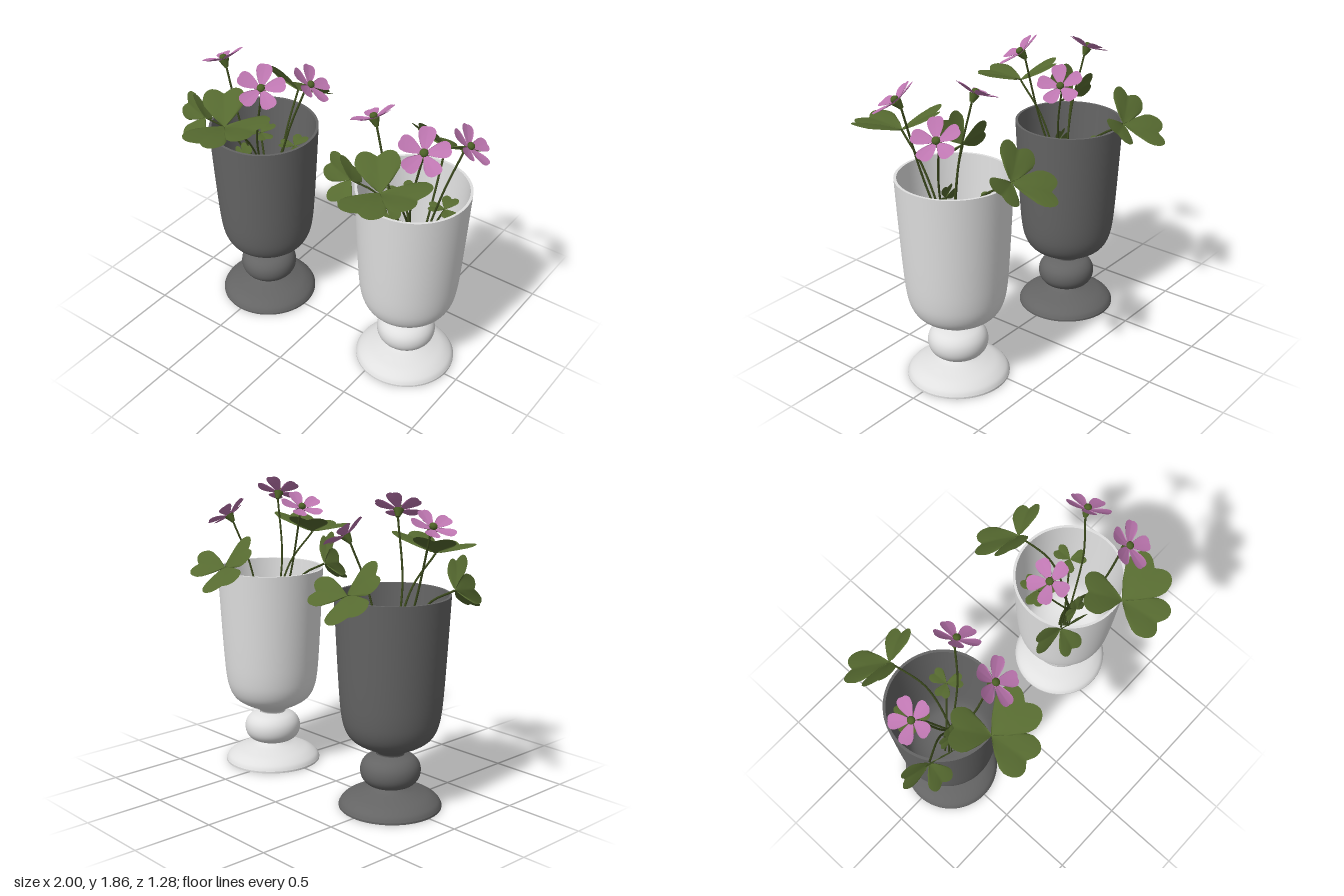
import * as THREE from 'three';

const V = (x, y, z) => new THREE.Vector3(x, y, z);
const mat = (name, color, side = THREE.FrontSide) => {
  const m = new THREE.MeshStandardMaterial({ color, side });
  m.name = name;
  return m;
};
const AXIS = [-0.497, -0.015]; // x and z of the first goblet

// smooth lathe through a few profile points [radius, height]
function lathe(points, smooth = true) {
  let pts = points.map(p => new THREE.Vector2(p[0], p[1]));
  if (smooth) pts = new THREE.SplineCurve(pts).getPoints(points.length * 4);
  pts.forEach(p => { p.x = Math.max(0, p.x); });
  return new THREE.LatheGeometry(pts, 64);
}

// blade drawn as rays from its base; outline gives ray length from midrib to edge
function bladeGeometry(outline, spread, base, tip, normal, fold, droop) {
  const rim = new THREE.SplineCurve(outline.map((r, i) => new THREE.Vector2(i / (outline.length - 1), r)));
  const dir = tip.clone().sub(base);
  const L = dir.length();
  dir.normalize();
  const side = normal.clone().cross(dir).normalize();
  const up = dir.clone().cross(side);
  const cols = 24, rows = 5, pos = [], idx = [];
  for (let j = 0; j <= rows; j++) {
    for (let i = 0; i <= cols; i++) {
      const s = (i / cols) * 2 - 1, t = j / rows;
      const r = Math.max(0, rim.getPoint(Math.abs(s)).y) * t * L;
      const along = r * Math.cos(s * spread), across = r * Math.sin(s * spread);
      const lift = fold * Math.abs(across) - droop * L * (t * t - t);
      const p = base.clone().addScaledVector(dir, along).addScaledVector(side, across).addScaledVector(up, lift);
      pos.push(p.x, p.y, p.z);
      if (i < cols && j < rows) {
        const a = j * (cols + 1) + i, b = a + cols + 1;
        idx.push(a, b, a + 1, b, b + 1, a + 1);
      }
    }
  }
  const g = new THREE.BufferGeometry();
  g.setAttribute('position', new THREE.Float32BufferAttribute(pos, 3));
  // wind the faces so that they look along the blade's upper side
  for (let k = 0; k < idx.length; k += 3) [idx[k + 1], idx[k + 2]] = [idx[k + 2], idx[k + 1]];
  g.setIndex(idx);
  g.computeVertexNormals();
  return g;
}

const HEART = [0.86, 0.96, 1.02, 1.0, 0.9, 0.7, 0.1];
const PETAL = [0.98, 1.0, 0.99, 0.95, 0.85, 0.62, 0.15];

// leaf clusters: centre, normal, stem bend, leaflet tips
const LEAVES = [
  { name: 'backLeaf', c: [-0.527, 1.35, -0.40], n: [-0.1, 0.75, -0.65], mid: [-0.46, 1.2, -0.2],
    tips: [[-0.72, 1.27, -0.58], [-0.325, 1.36, -0.49], [-0.70, 1.5, -0.32]] },
  { name: 'sideLeaf', c: [-0.80, 1.34, 0.18], n: [-0.05, 0.3, 0.95], mid: [-0.66, 1.24, 0.1],
    tips: [[-0.99, 1.38, 0.15], [-0.74, 1.52, 0.25], [-0.82, 1.23, 0.31]] },
  { name: 'frontLeaf', c: [-0.48, 1.485, 0.36], n: [0, 1, 0.1], mid: [-0.46, 1.28, 0.17],
    tips: [[-0.455, 1.515, 0.64], [-0.63, 1.61, 0.18], [-0.19, 1.58, 0.385]] },
  { name: 'innerLeafLeft', c: [-0.635, 1.12, -0.145], n: [0, 1, 0], mid: [-0.54, 0.9, -0.07],
    tips: [[-0.637, 1.14, -0.255], [-0.735, 1.13, -0.09], [-0.54, 1.13, -0.09]] },
  { name: 'innerLeafRight', c: [-0.35, 1.14, -0.13], n: [0, 1, 0], mid: [-0.44, 0.9, -0.06],
    tips: [[-0.36, 1.16, -0.235], [-0.44, 1.15, -0.09], [-0.27, 1.15, -0.07]] },
  { name: 'innerLeafFront', c: [-0.56, 1.1, 0.11], n: [0, 0.4, 0.9], mid: [-0.52, 0.9, 0.03],
    tips: [[-0.65, 1.11, 0.1], [-0.55, 1.19, 0.08], [-0.48, 1.08, 0.1]] },
];

// flowers: centre, facing direction, stem bend, petal length
const FLOWERS = [
  { name: 'leftFlower', c: [-0.755, 1.715, 0.035], n: [-0.46, 0.88, -0.1], mid: [-0.62, 1.3, 0.06], r: 0.135, turn: 0.2 },
  { name: 'frontFlower', c: [-0.30, 1.755, 0.23], n: [0.34, 0.78, 0.5], mid: [-0.41, 1.3, 0.155], r: 0.145, turn: 0.5 },
  { name: 'rightFlower', c: [-0.222, 1.63, -0.14], n: [0.6, 0.75, -0.22], mid: [-0.33, 1.3, -0.05], r: 0.14, turn: 0 },
];

export function createModel() {
  const model = new THREE.Group();
  model.name = 'pairOfPlantedGoblets';
  const gray = mat('darkGlaze', 0x646464, THREE.DoubleSide);
  const white = mat('whiteGlaze', 0xe0e0e0, THREE.DoubleSide);
  const leafGreen = mat('leafGreen', 0x566a30, THREE.DoubleSide);
  const stemGreen = mat('stemGreen', 0x3a481c);
  const budGreen = mat('budGreen', 0x4c6026);
  const pink = mat('petalPink', 0xbd76b0, THREE.DoubleSide);

  const add = (parent, name, geometry, material) => {
    const m = new THREE.Mesh(geometry, material);
    m.name = name;
    parent.add(m);
    return m;
  };

  // goblet parts
  function goblet(name, material) {
    const g = new THREE.Group();
    g.name = name;
    add(g, 'footUnderside', lathe([[0, 0], [0.31, 0]], false), material);
    add(g, 'footEdge', lathe([[0.31, 0], [0.31, 0.012]], false), material);
    add(g, 'footDome', lathe([[0.31, 0.012], [0.292, 0.04], [0.245, 0.07], [0.18, 0.092], [0.12, 0.11], [0.085, 0.128]]), material);
    add(g, 'knop', lathe([[0.085, 0.126], [0.14, 0.147], [0.172, 0.183], [0.182, 0.228], [0.172, 0.273], [0.14, 0.309], [0.085, 0.33]]), material);
    add(g, 'bowlOutside', lathe([[0.08, 0.325], [0.085, 0.342], [0.13, 0.368], [0.2, 0.404], [0.25, 0.445], [0.282, 0.51],
      [0.299, 0.6], [0.311, 0.75], [0.325, 1.0], [0.34, 1.3]]), material);
    add(g, 'rim', lathe([[0.34, 1.3], [0.324, 1.3]], false), material);
    add(g, 'bowlInside', lathe([[0.324, 1.3], [0.309, 1.0], [0.295, 0.75], [0.282, 0.6], [0.262, 0.52], [0.22, 0.455],
      [0.13, 0.41], [0, 0.395]]), material);
    g.position.set(AXIS[0], 0, AXIS[1]);
    return g;
  }

  function stem(parent, end, mid, i) {
    const a = i * 2.4;
    const curve = new THREE.CatmullRomCurve3([
      V(AXIS[0] + 0.03 * Math.cos(a), 0.41, AXIS[1] + 0.03 * Math.sin(a)),
      V(AXIS[0] + 0.02 + 0.02 * Math.cos(a), 0.7, AXIS[1] + 0.02 * Math.sin(a)),
      V(...mid), end]);
    add(parent, 'stem', new THREE.TubeGeometry(curve, 28, 0.0065, 6), stemGreen);
  }

  const plant = new THREE.Group();
  plant.name = 'plant';

  // three-part leaves
  LEAVES.forEach((leaf, i) => {
    const g = new THREE.Group();
    g.name = leaf.name;
    const c = V(...leaf.c), n = V(...leaf.n).normalize();
    leaf.tips.forEach(t => add(g, 'leaflet', bladeGeometry(HEART, 0.82, c, V(...t), n, 0.1, 0.12), leafGreen));
    stem(g, c, leaf.mid, i);
    plant.add(g);
  });

  // five-petalled flowers with a green eye and calyx
  FLOWERS.forEach((f, i) => {
    const g = new THREE.Group();
    g.name = f.name;
    const head = new THREE.Group();
    head.name = 'flowerHead';
    for (let k = 0; k < 5; k++) {
      const a = f.turn + k * Math.PI * 2 / 5;
      const tip = V(Math.cos(a) * f.r, 0.015, Math.sin(a) * f.r);
      add(head, 'petal', bladeGeometry(PETAL, 0.57, V(0, -0.015, 0), tip, V(0, 1, 0), 0.08, -0.1), pink);
    }
    const eye = add(head, 'eye', new THREE.SphereGeometry(0.024, 12, 8), budGreen);
    eye.scale.y = 0.8;
    const calyx = add(head, 'calyx', new THREE.CylinderGeometry(0.032, 0.012, 0.05, 10), budGreen);
    calyx.position.y = -0.04;
    const n = V(...f.n).normalize(), c = V(...f.c);
    head.position.copy(c);
    head.quaternion.setFromUnitVectors(V(0, 1, 0), n);
    g.add(head);
    stem(g, c.clone().addScaledVector(n, -0.055), f.mid, i + LEAVES.length);
    plant.add(g);
  });

  // the same planted goblet twice, in two glazes
  [['darkGoblet', gray, 0], ['whiteGoblet', white, 1.104]].forEach(([name, material, dx]) => {
    const pot = new THREE.Group();
    pot.name = name + 'WithPlant';
    pot.add(goblet(name, material), plant.clone());
    pot.position.x = dx;
    model.add(pot);
  });
  return model;
}
